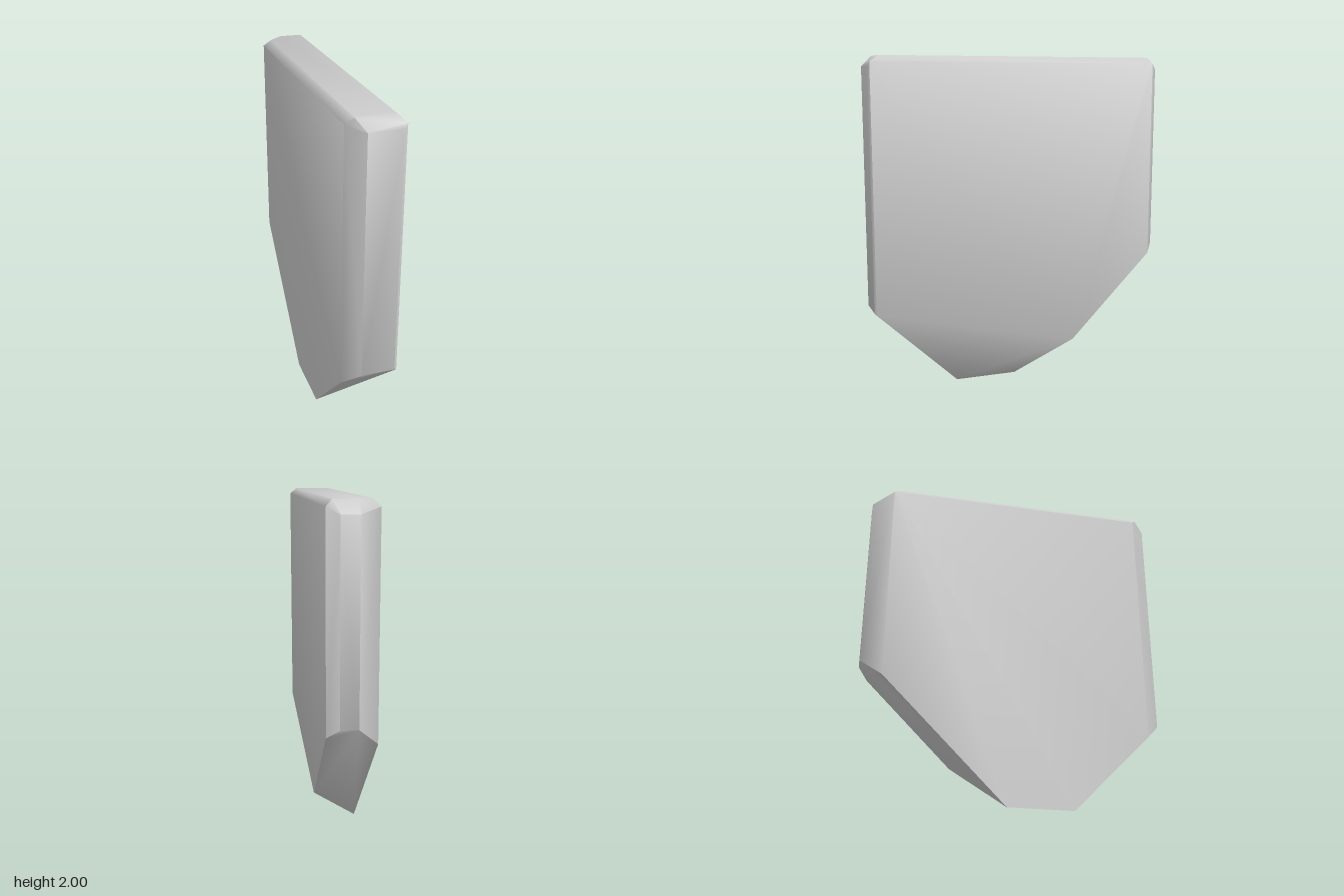
import * as THREE from 'three';
import { ConvexGeometry } from 'three/addons/geometries/ConvexGeometry.js';
import { toCreasedNormals } from 'three/addons/utils/BufferGeometryUtils.js';

const W = 0.145; // half thickness

// Vertical corner edges of the slab: [x, z, bottom y, top y].
// Bottom heights lie on the two 45 degree slopes that meet under the slab.
const FRONT_SLOPE = (z) => z - 0.335;
const BACK_SLOPE = (z) => -0.05 - z;
const uprights = [
  [-W, 0.80, FRONT_SLOPE(0.80), 1.96],
  [-0.06, 0.895, FRONT_SLOPE(0.895), 1.94],
  [0.13, 0.895, FRONT_SLOPE(0.895), 1.94],
  [W, 0.885, FRONT_SLOPE(0.885), 1.965],
  [W, -0.84, BACK_SLOPE(-0.84), 1.965],
  [0.08, -0.895, BACK_SLOPE(-0.895), 1.93],
  [-0.02, -0.895, BACK_SLOPE(-0.895), 1.93],
  [-W, -0.77, BACK_SLOPE(-0.77), 1.96],
];

// Flat top inside the bevel: [x, z].
const topRim = [[-0.105, 0.83], [0.11, 0.83], [0.11, -0.82], [-0.02, -0.82], [-0.105, -0.74]];

// Lowest edge on the right face and the lifted corner on the left face.
const foot = [[-W, 0, 0.335], [-W, 0, -0.05], [W, 0.28, -0.33]];

export function createModel() {
  const points = foot.map((p) => new THREE.Vector3(...p));
  for (const [x, z, low, high] of uprights) {
    points.push(new THREE.Vector3(x, low, z), new THREE.Vector3(x, high, z));
  }
  for (const [x, z] of topRim) points.push(new THREE.Vector3(x, 2, z));

  // Soft shading over the bevels, sharp at the steeper edges.
  const geometry = toCreasedNormals(new ConvexGeometry(points), 0.83);
  const slab = new THREE.Mesh(geometry, new THREE.MeshStandardMaterial({ color: 0xcccccc }));
  slab.name = 'bevelledSlab';

  const model = new THREE.Group();
  model.name = 'pointedSlab';
  model.add(slab);
  return model;
}
